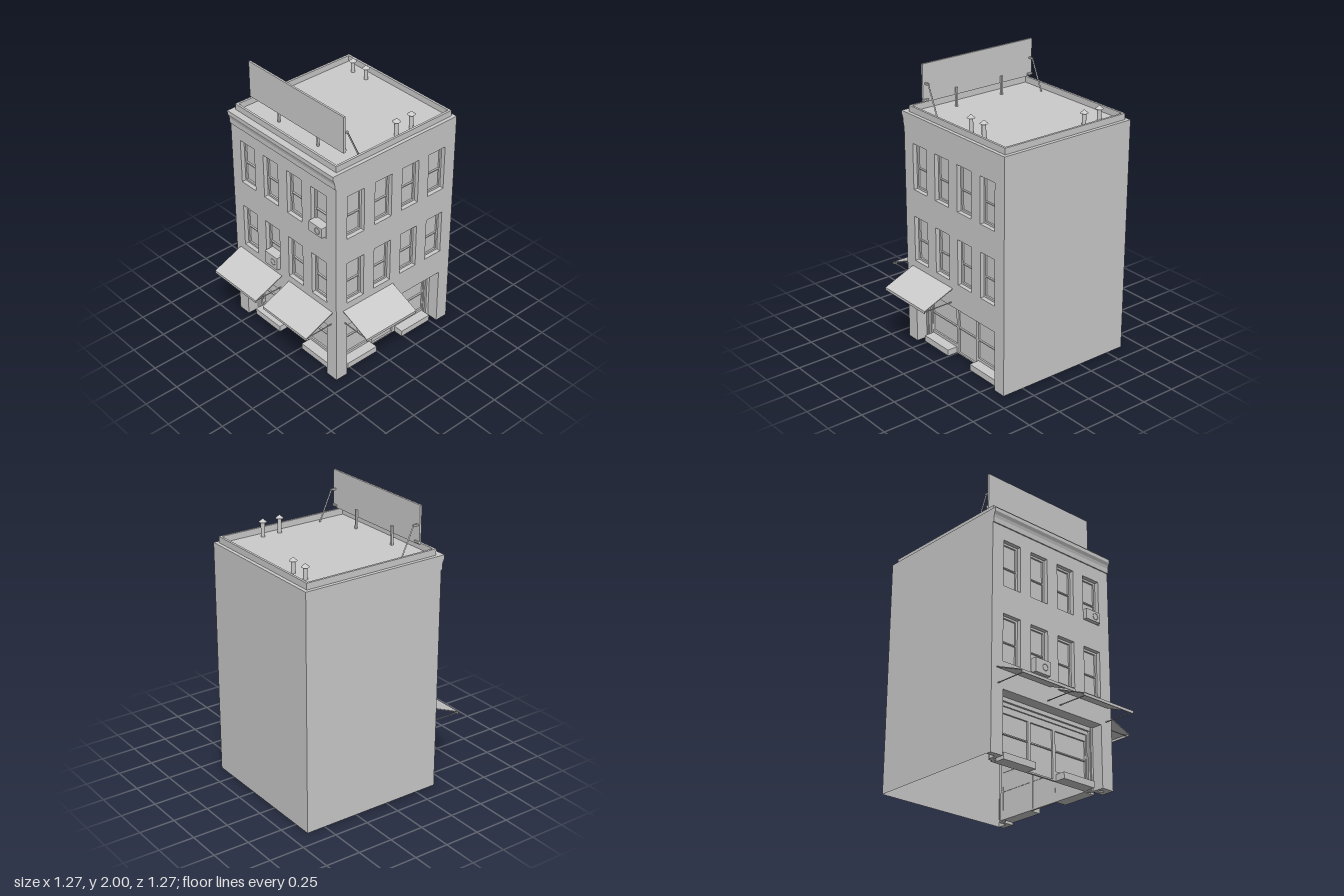
import * as THREE from 'three';

const mat = new THREE.MeshStandardMaterial({ color: 0xcccccc, flatShading: true, side: THREE.DoubleSide });
const smoothMat = new THREE.MeshStandardMaterial({ color: 0xcccccc, side: THREE.DoubleSide });

function add(parent, name, geo, x = 0, y = 0, z = 0, m = mat) {
  const mesh = new THREE.Mesh(geo, m);
  mesh.name = name;
  mesh.position.set(x, y, z);
  parent.add(mesh);
  return mesh;
}

// box given by its extents
function box(parent, name, x0, x1, y0, y1, z0, z1) {
  return add(parent, name, new THREE.BoxGeometry(x1 - x0, y1 - y0, z1 - z0),
    (x0 + x1) / 2, (y0 + y1) / 2, (z0 + z1) / 2);
}

// round or square bar between two points
function bar(parent, name, a, b, r, sides = 6) {
  const p = new THREE.Vector3(...a), q = new THREE.Vector3(...b);
  const mesh = add(parent, name, new THREE.CylinderGeometry(r, r, p.distanceTo(q), sides));
  mesh.position.copy(p).add(q).multiplyScalar(0.5);
  mesh.quaternion.setFromUnitVectors(new THREE.Vector3(0, 1, 0), q.sub(p).normalize());
}

const poly = pts => new THREE.Shape(pts.map(p => new THREE.Vector2(...p)));
const rect = (x0, x1, y0, y1) => poly([[x0, y0], [x1, y0], [x1, y1], [x0, y1]]);

// shape with holes, extruded between two depths
function panel(parent, name, shape, holes, z0, z1) {
  shape.holes = holes;
  const geo = new THREE.ExtrudeGeometry(shape, { depth: z1 - z0, bevelEnabled: false });
  return add(parent, name, geo, 0, 0, z0);
}

// door surround: two jambs and a head, open at the ground
const surround = (w, h, iw, ih) =>
  poly([[-w, 0], [-iw, 0], [-iw, ih], [iw, ih], [iw, 0], [w, 0], [w, h], [-w, h]]);

const COLS = [-0.354, -0.118, 0.118, 0.354];
const ROWS = [0.78, 1.30];
const WW = 0.0725, WH = 0.163;

function sashWindow(parent, x, y) {
  const g = new THREE.Group();
  g.name = 'window';
  g.position.set(x, y, 0);
  const i = 0.014;
  panel(g, 'windowFrame', rect(-WW, WW, -WH, WH),
    [rect(-WW + i, WW - i, -WH + i, -0.018), rect(-WW + i, WW - i, -0.01, WH - i)], -0.045, -0.03);
  add(g, 'windowGlass', new THREE.PlaneGeometry(WW * 2, WH * 2), 0, 0, -0.042);
  parent.add(g);
}

function storefront(parent) {
  const g = new THREE.Group();
  g.name = 'storefront';
  panel(g, 'storefrontReveal', surround(0.45, 0.455, 0.425, 0.43), [], -0.095, -0.039);
  panel(g, 'outerFrame', surround(0.44, 0.44, 0.402, 0.403), [], -0.11, -0.085);
  panel(g, 'innerFrame', surround(0.41, 0.41, 0.389, 0.378), [], -0.125, -0.1);
  // glazing bars: two display bays and a central door
  const holes = [];
  for (const [a, b, y] of [[-0.385, -0.118, 0.065], [-0.095, 0.095, 0.01], [0.118, 0.385, 0.065]]) {
    holes.push(rect(a, b, y, 0.197), rect(a, b, 0.205, 0.335));
  }
  panel(g, 'glazingBars', rect(-0.4, 0.4, 0, 0.39), holes, -0.125, -0.11);
  add(g, 'shopGlass', new THREE.PlaneGeometry(0.8, 0.39), 0, 0.195, -0.122);
  for (const s of [-1, 1]) box(g, 'displayLedge', s * 0.2525 - 0.1325, s * 0.2525 + 0.1325, 0, 0.045, -0.125, -0.035);
  parent.add(g);
}

function awning(parent, x) {
  const g = new THREE.Group();
  g.name = 'awning';
  g.position.x = x;
  const w = 0.2225;
  // sloping canvas with a short hanging valance
  const profile = poly([[0, 0.567], [0.23, 0.472], [0.23, 0.453], [0.225, 0.453], [0.225, 0.468], [0, 0.56]]);
  const geo = new THREE.ExtrudeGeometry(profile, { depth: 2 * w, bevelEnabled: false });
  geo.rotateY(-Math.PI / 2);
  add(g, 'awningCanvas', geo, w);
  for (const s of [-1, 1]) bar(g, 'awningArm', [s * (w - 0.015), 0.46, -0.005], [s * (w - 0.015), 0.458, 0.225], 0.004);
  parent.add(g);
}

function airConditioner(parent, x, y0, y1) {
  const g = new THREE.Group();
  g.name = 'airConditioner';
  box(g, 'airConditionerCase', x - 0.063, x + 0.063, y0, y1, -0.042, 0.026);
  add(g, 'fanRing', new THREE.TorusGeometry(0.022, 0.0015, 4, 20), x + 0.02, (y0 + y1) / 2, 0.026);
  parent.add(g);
}

// street wall centred on x = 0 with its outer surface at z = 0
function facade(name) {
  const g = new THREE.Group();
  g.name = name;
  const holes = [];
  for (const x of COLS) for (const y of ROWS) {
    holes.push(rect(x - WW, x + WW, y - WH, y + WH));
    sashWindow(g, x, y);
  }
  panel(g, 'streetWall', surround(0.52, 1.66, 0.425, 0.43), holes, -0.04, 0);
  storefront(g);
  return g;
}

function billboard(parent) {
  const g = new THREE.Group();
  g.name = 'billboard';
  box(g, 'billboardPanel', -0.565, 0.348, 1.74, 2.0, 0.273, 0.287);
  for (const x of [-0.298, 0.083]) box(g, 'billboardPost', x - 0.007, x + 0.007, 1.66, 1.79, 0.259, 0.273);
  for (const x of [-0.545, 0.328]) {
    box(g, 'braceBracket', x - 0.006, x + 0.006, 1.862, 1.874, 0.235, 0.273);
    box(g, 'bracePlate', x - 0.02, x + 0.02, 1.75, 1.762, 0.262, 0.273);
    bar(g, 'billboardBrace', [x, 1.868, 0.24], [x, 1.66, 0.145], 0.006, 4);
  }
  parent.add(g);
}

function vent(parent, x, z, top) {
  const g = new THREE.Group();
  g.name = 'roofVent';
  const h = top - 0.02 - 1.66;
  add(g, 'ventPipe', new THREE.CylinderGeometry(0.014, 0.014, h, 16), x, 1.66 + h / 2, z, smoothMat);
  add(g, 'ventCap', new THREE.ConeGeometry(0.027, 0.024, 16), x, top - 0.012, z, smoothMat);
  parent.add(g);
}

export function createModel() {
  const model = new THREE.Group();
  model.name = 'cornerBuilding';

  // two street walls
  const front = facade('frontFacade');
  front.position.set(-0.11, 0, 0.405);
  awning(front, -0.2575);
  awning(front, 0.2625);
  airConditioner(front, 0.348, 1.14, 1.213);
  airConditioner(front, -0.113, 0.617, 0.715);
  const side = facade('sideFacade');
  side.position.set(0.41, 0, -0.115);
  side.rotation.y = Math.PI / 2;
  awning(side, -0.237);
  model.add(front, side);

  // blank party walls and roof, open underneath
  const back = add(model, 'backWall', new THREE.PlaneGeometry(1.04, 1.66), -0.11, 0.83, -0.635);
  back.rotation.y = Math.PI;
  const blank = add(model, 'blankSideWall', new THREE.PlaneGeometry(1.04, 1.66), -0.63, 0.83, -0.115);
  blank.rotation.y = -Math.PI / 2;
  const roof = add(model, 'roof', new THREE.PlaneGeometry(1.04, 1.04), -0.11, 1.66, -0.115);
  roof.rotation.x = -Math.PI / 2;

  // parapet
  const parapet = panel(model, 'parapet', rect(-0.495, 0.495, -0.495, 0.495),
    [rect(-0.479, 0.479, -0.479, 0.479)], 0, 0.043);
  parapet.rotation.x = -Math.PI / 2;
  parapet.position.set(-0.11, 1.66, -0.115);

  // front cornice
  const cornice = poly([[0, 1.56], [0.008, 1.56], [0.009, 1.595], [0.014, 1.615], [0.024, 1.635], [0.024, 1.66], [0, 1.66]]);
  const geo = new THREE.ExtrudeGeometry(cornice, { depth: 1.04, bevelEnabled: false });
  geo.rotateY(-Math.PI / 2);
  add(model, 'cornice', geo, 0.41, 0, 0.405);

  billboard(model);
  for (const [x, z, top] of [[-0.462, -0.52, 1.765], [-0.332, -0.52, 1.765], [0.315, -0.317, 1.785], [0.315, -0.187, 1.785]]) {
    vent(model, x, z, top);
  }
  return model;
}
